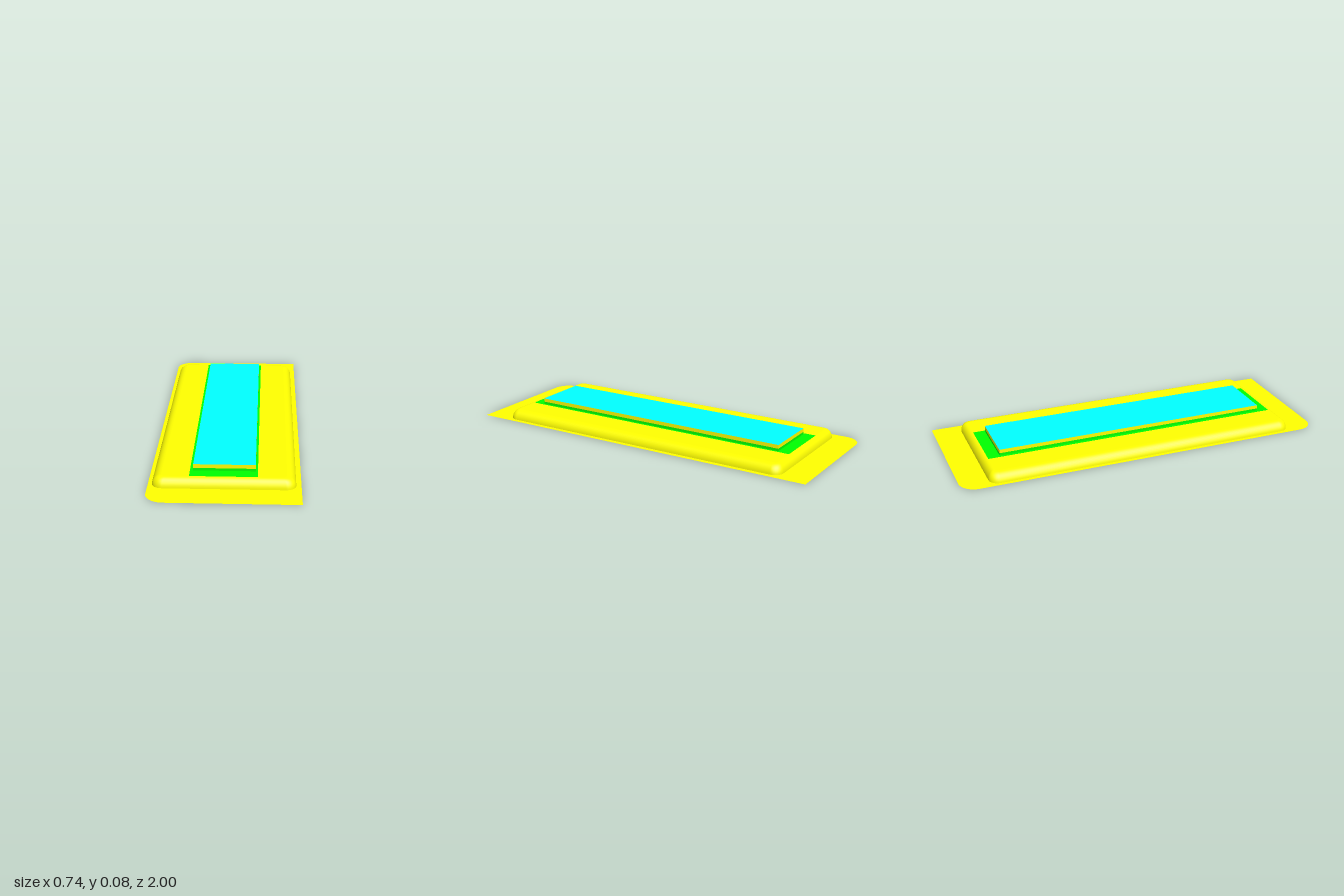
import * as THREE from 'three';

const paint = (color) => new THREE.MeshStandardMaterial({ color, side: THREE.DoubleSide });

// Counter-clockwise outline; radii order: front right, back right, back left, front left
function outline(x0, x1, hz, radii = [0, 0, 0, 0], seg = 8) {
  const corners = [[x1, -hz, -1, 1], [x1, hz, -1, -1], [x0, hz, 1, -1], [x0, -hz, 1, 1]];
  const pts = [];
  corners.forEach(([x, y, sx, sy], i) => {
    const r = radii[i];
    if (!r) { pts.push(new THREE.Vector2(x, y)); return; }
    for (let k = 0; k <= seg; k++) {
      const a = (i - 1 + k / seg) * Math.PI / 2;
      pts.push(new THREE.Vector2(x + sx * r + r * Math.cos(a), y + sy * r + r * Math.sin(a)));
    }
  });
  return pts;
}

// Flat horizontal sheet, optionally with an opening
function sheet(name, pts, y, material, hole) {
  const shape = new THREE.Shape(pts);
  if (hole) shape.holes.push(new THREE.Path(hole));
  const geo = new THREE.ShapeGeometry(shape).rotateX(-Math.PI / 2).translate(0, y, 0);
  const mesh = new THREE.Mesh(geo, material);
  mesh.name = name;
  return mesh;
}

// Open wall through a stack of matching outlines
function wall(name, rings, material) {
  const n = rings[0].pts.length, pos = [], index = [];
  rings.forEach(({ pts, y }) => pts.forEach((p) => pos.push(p.x, y, -p.y)));
  for (let r = 0; r < rings.length - 1; r++) {
    for (let i = 0; i < n; i++) {
      const a = r * n + i, b = r * n + (i + 1) % n;
      index.push(a, b, b + n, a, b + n, a + n);
    }
  }
  let geo = new THREE.BufferGeometry();
  geo.setAttribute('position', new THREE.Float32BufferAttribute(pos, 3));
  geo.setIndex(index);
  if (n === 4) geo = geo.toNonIndexed(); // crisp edges on plain boxes
  geo.computeVertexNormals();
  const mesh = new THREE.Mesh(geo, material);
  mesh.name = name;
  return mesh;
}

export function createModel() {
  const group = new THREE.Group();
  const yellow = paint(0xffff00), green = paint(0x00ff00), cyan = paint(0x00ffff);
  const H = 0.05, TOP = 0.083, STEP = 0.063;

  // Rounded body wall, curving inwards to the flat top
  const rings = [];
  for (let k = 0; k <= 10; k++) {
    const t = k / 10 * Math.PI / 2, s = 1 - Math.cos(t);
    const r = 0.05 - 0.03 * s;
    rings.push({
      pts: outline(-0.35 + 0.045 * s, 0.345 - 0.045 * s, 0.85 - 0.035 * s, [r, r, r, r]),
      y: H * Math.sin(t),
    });
  }
  // The green strip stops just inside the end of the flat top
  const strip = outline(-0.17, 0.16, 0.814);
  const slab = outline(-0.154, 0.149, 0.75);

  group.add(
    sheet('baseFlange', outline(-0.37, 0.37, 1, [0, 0, 0.09, 0.09]), 0, yellow, rings[0].pts),
    wall('bodyWall', rings, yellow),
    sheet('bodyTop', rings[10].pts, H, yellow, strip),
    sheet('stripSurround', strip, H, green, slab),
    wall('slabLowerWall', [{ pts: slab, y: H }, { pts: slab, y: STEP }], green),
    wall('slabUpperWall', [{ pts: slab, y: STEP }, { pts: slab, y: TOP }], yellow),
    sheet('slabTop', slab, TOP, cyan),
  );
  return group;
}
